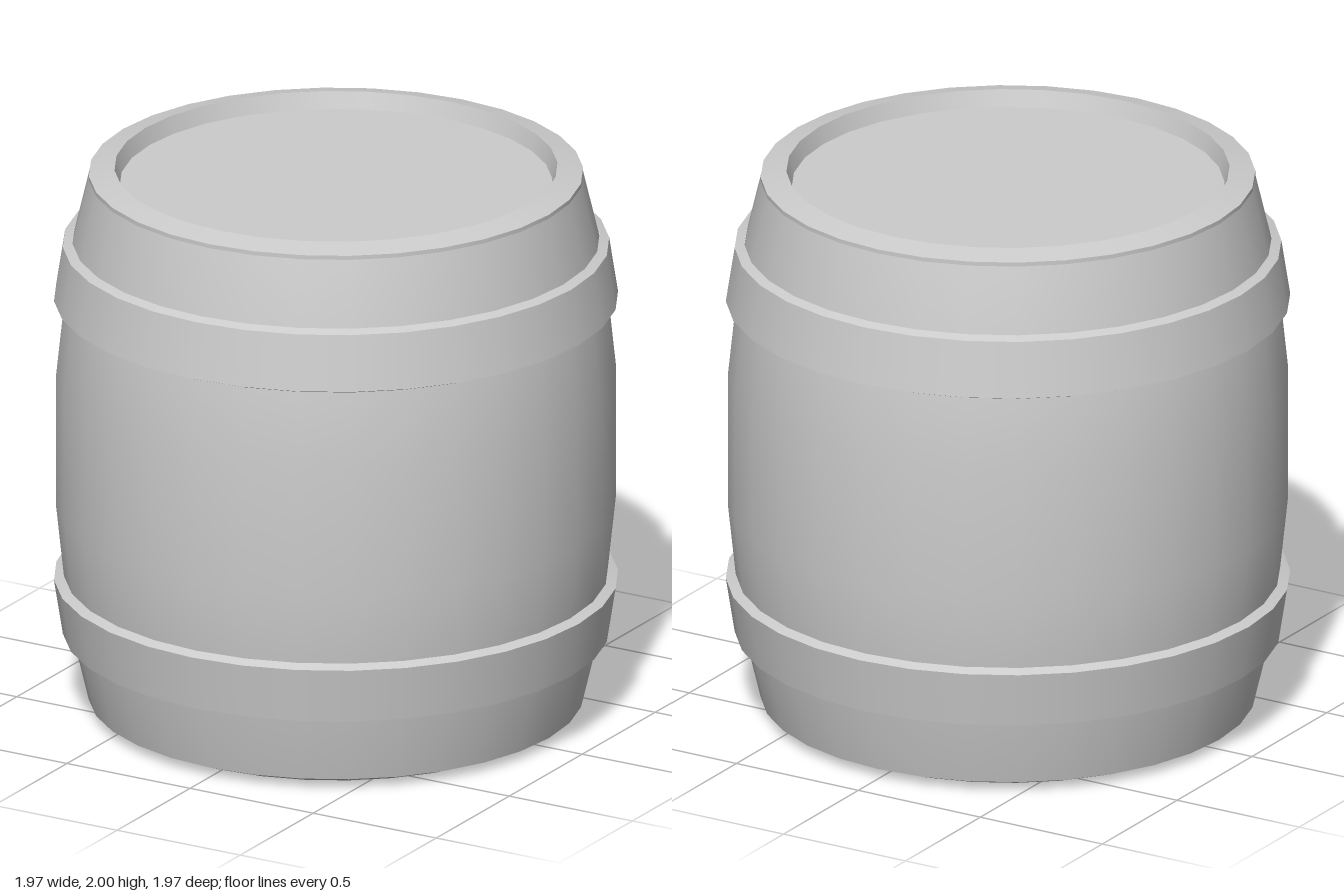
import * as THREE from 'three';

const SEGMENTS = 32;

export function createModel() {
  const model = new THREE.Group();
  model.name = 'barrel';

  const grey = new THREE.MeshStandardMaterial({ color: 0xcccccc });
  grey.name = 'light grey';

  // Smooth surface of revolution; separate strips keep the edges between them sharp.
  function strip(parent, name, profile) {
    const points = profile.map(([r, y]) => new THREE.Vector2(r, y));
    const mesh = new THREE.Mesh(new THREE.LatheGeometry(points, SEGMENTS), grey);
    mesh.name = name;
    parent.add(mesh);
  }

  // Bulging wall, listed as radius and height, symmetric about mid height
  const lowerWall = [[0.865, 0.035], [0.923, 0.28], [0.952, 0.495], [0.98, 0.76]];
  const upperWall = lowerWall.map(([r, y]) => [r, 2 - y]).reverse();
  strip(model, 'wall', [...lowerWall, ...upperWall]);

  // Closed base with a shallow bevel
  strip(model, 'base', [[0, 0], [0.78, 0], [0.865, 0.035]]);

  // Bevelled rim around the sunken lid
  strip(model, 'rimTop', [[0.865, 1.98], [0.775, 2]]);
  strip(model, 'rimInside', [[0.775, 2], [0.757, 1.94]]);
  strip(model, 'lid', [[0.757, 1.94], [0, 1.94]]);

  // Short join between wall and rim
  strip(model, 'rimEdge', [[0.865, 1.965], [0.865, 1.98]]);

  // Two hoops: the upper profile, mirrored for the lower one
  const hoopProfile = [[0.95, 1.503], [0.987, 1.518], [0.956, 1.718], [0.922, 1.73]];
  const hoopParts = ['lowerEdge', 'band', 'upperEdge'];
  for (const upper of [true, false]) {
    const hoop = new THREE.Group();
    hoop.name = upper ? 'upperHoop' : 'lowerHoop';
    const profile = upper ? hoopProfile : hoopProfile.map(([r, y]) => [r, 2 - y]).reverse();
    hoopParts.forEach((name, i) => strip(hoop, name, [profile[i], profile[i + 1]]));
    model.add(hoop);
  }

  return model;
}
